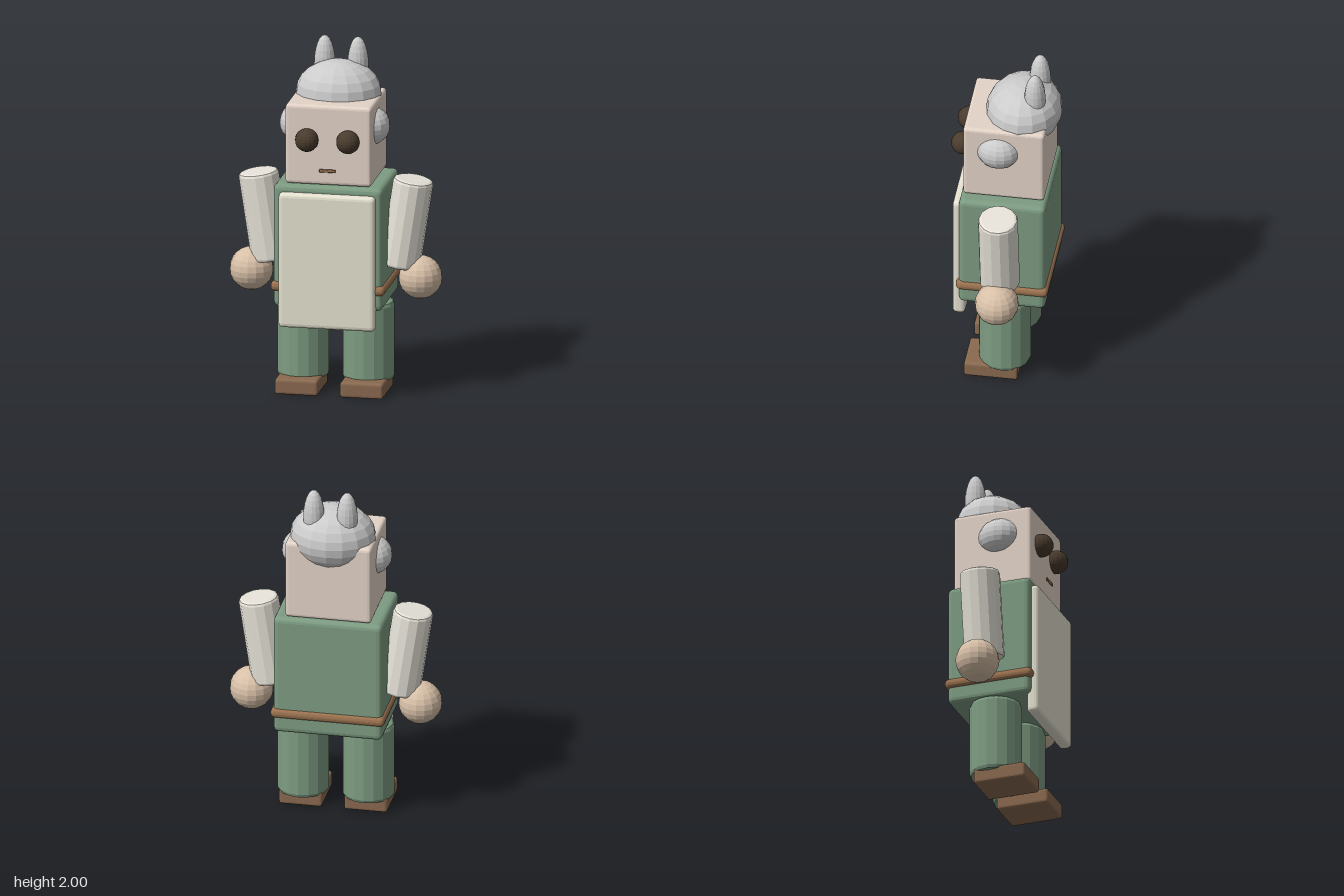
import * as THREE from 'three';
import { RoundedBoxGeometry } from 'three/addons/geometries/RoundedBoxGeometry.js';

const mat = (color) => new THREE.MeshStandardMaterial({ color, flatShading: true });
const GREY = mat(0xcccccc), GREEN = mat(0x7d9c82), CREAM = mat(0xe5e2d0), SLEEVE = mat(0xe6e2d8);
const FACE = mat(0xe4d4c8), SKIN = mat(0xd8c0a8), LEATHER = mat(0x8a6a50), BELT = mat(0x9c7350), DARK = mat(0x4a3c2e);
const MID = -0.013; // depth of the body's centre

export function createModel() {
  const model = new THREE.Group();
  model.name = 'toyFigure';

  const add = (name, geometry, material, x, y, z) => {
    const mesh = new THREE.Mesh(geometry, material);
    mesh.name = name;
    mesh.position.set(x, y, z);
    model.add(mesh);
    return mesh;
  };
  const box = (name, size, radius, material, ...at) =>
    add(name, new RoundedBoxGeometry(...size, 2, radius), material, ...at);
  const ball = (name, rx, ry, rz, material, ...at) =>
    add(name, new THREE.SphereGeometry(1, 16, 12).scale(rx, ry, rz), material, ...at);
  // Upright cylinder with bevelled rims
  const post = (name, r, h, bevel, sides, material, ...at) => {
    const b = bevel, k = bevel * 0.3;
    const profile = [
      [0, -h / 2], [r - b, -h / 2], [r - k, -h / 2 + k], [r, -h / 2 + b],
      [r, h / 2 - b], [r - k, h / 2 - k], [r - b, h / 2], [0, h / 2],
    ].map(([x, y]) => new THREE.Vector2(x, y));
    return add(name, new THREE.LatheGeometry(profile, sides), material, ...at);
  };

  // Torso, belt and apron
  box('torso', [0.62, 0.71, 0.49], 0.03, GREEN, 0, 0.875, MID);
  box('belt', [0.65, 0.058, 0.52], 0.026, BELT, 0, 0.64, MID);
  box('apron', [0.55, 0.78, 0.072], 0.025, CREAM, 0, 0.8, 0.236);

  // Head, cap and mouth
  box('head', [0.49, 0.46, 0.46], 0.02, FACE, 0, 1.465, MID);
  ball('cap', 0.243, 0.184, 0.214, GREY, 0, 1.697, -0.093);
  box('mouth', [0.094, 0.018, 0.012], 0.005, BELT, 0, 1.325, 0.238);

  // Paired parts
  for (const s of [1, -1]) {
    const side = s > 0 ? 'left' : 'right';
    ball(side + 'Horn', 0.06, 0.163, 0.06, GREY, s * 0.095, 1.837, -0.168);
    ball(side + 'Ear', 0.108, 0.108, 0.123, GREY, s * 0.205, 1.542, 0.02);
    ball(side + 'Eye', 0.066, 0.066, 0.066, DARK, s * 0.117, 1.498, 0.236);
    post(side + 'Arm', 0.113, 0.51, 0.018, 14, SLEEVE, s * 0.405, 0.984, MID).rotation.z = -s * 0.15;
    ball(side + 'Hand', 0.123, 0.123, 0.123, SKIN, s * 0.481, 0.67, MID);
    post(side + 'Leg', 0.147, 0.455, 0.025, 16, GREEN, s * 0.186, 0.298, MID);
    box(side + 'Shoe', [0.246, 0.09, 0.305], 0.016, LEATHER, s * 0.186, 0.048, 0.05);
  }
  return model;
}
